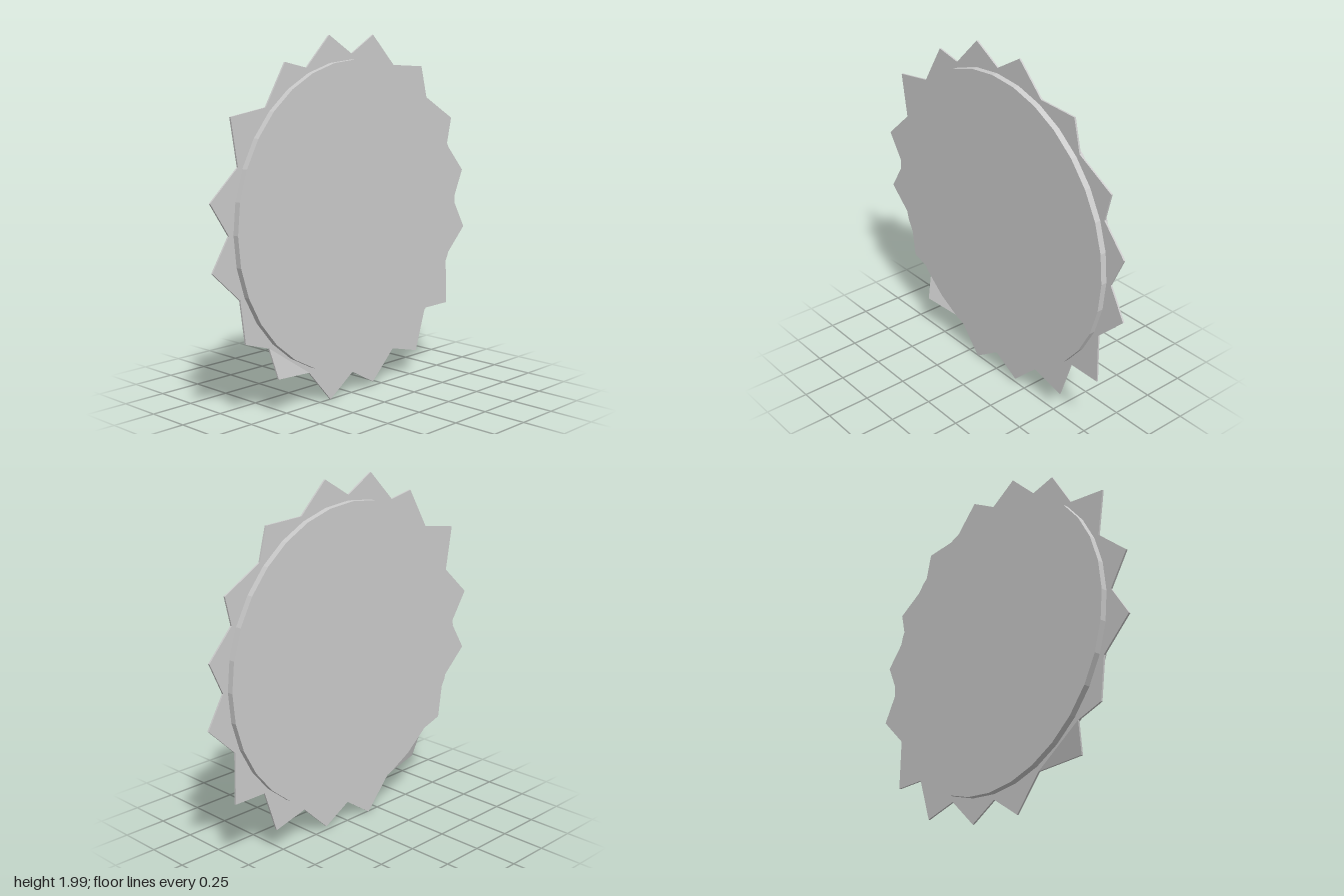
import * as THREE from 'three';

export function createModel() {
  const model = new THREE.Group();
  model.name = 'toothedDisc';
  const material = new THREE.MeshStandardMaterial({ color: 0xcccccc, flatShading: true });

  // Everything hangs on a wheel group that leans back very slightly
  const wheel = new THREE.Group();
  wheel.name = 'wheel';
  wheel.position.set(0.005, 1.015, -0.005);
  wheel.rotation.x = -0.0035;
  model.add(wheel);

  const add = (geometry, name, parent = wheel) => {
    const mesh = new THREE.Mesh(geometry, material);
    mesh.name = name;
    parent.add(mesh);
    return mesh;
  };

  // Thick round body
  add(new THREE.CylinderGeometry(0.855, 0.855, 0.08, 32).rotateX(Math.PI / 2), 'disc');

  // Thin plate that carries the teeth
  const count = 16, rootRadius = 0.885, thickness = 0.01;
  const root = i => {
    const a = (i / count) * Math.PI * 2;
    return new THREE.Vector2(Math.sin(a) * rootRadius, Math.cos(a) * rootRadius);
  };
  const extrude = points => new THREE.ExtrudeGeometry(new THREE.Shape(points),
    { depth: thickness, bevelEnabled: false }).translate(0, 0, -thickness / 2);
  add(extrude(Array.from({ length: count }, (_, i) => root(count - i))), 'plate');

  // Uneven tooth tips, clockwise from the top: x, y and forward bend
  const tips = [
    [0.17, 0.985], [0.58, 0.805], [0.855, 0.495], [0.965, 0.175],
    [0.985, -0.175], [0.825, -0.625], [0.545, -0.87], [0.17, -0.98],
    [-0.175, -1.005], [-0.6, -0.79, 0.043], [-0.785, -0.575], [-0.995, -0.175],
    [-1.0, 0.175], [-0.86, 0.59], [-0.49, 0.85], [-0.17, 0.985],
  ];
  const teeth = new THREE.Group();
  teeth.name = 'teeth';
  wheel.add(teeth);
  tips.forEach(([x, y, bend = 0], i) => {
    const geometry = extrude([root(i + 1), new THREE.Vector2(x, y), root(i)]);
    const p = geometry.attributes.position;
    for (let v = 0; v < p.count; v++) {
      if (Math.hypot(p.getX(v) - x, p.getY(v) - y) < 1e-4) p.setZ(v, p.getZ(v) + bend);
    }
    geometry.computeVertexNormals();
    add(geometry, 'tooth' + (i + 1), teeth);
  });

  return model;
}
